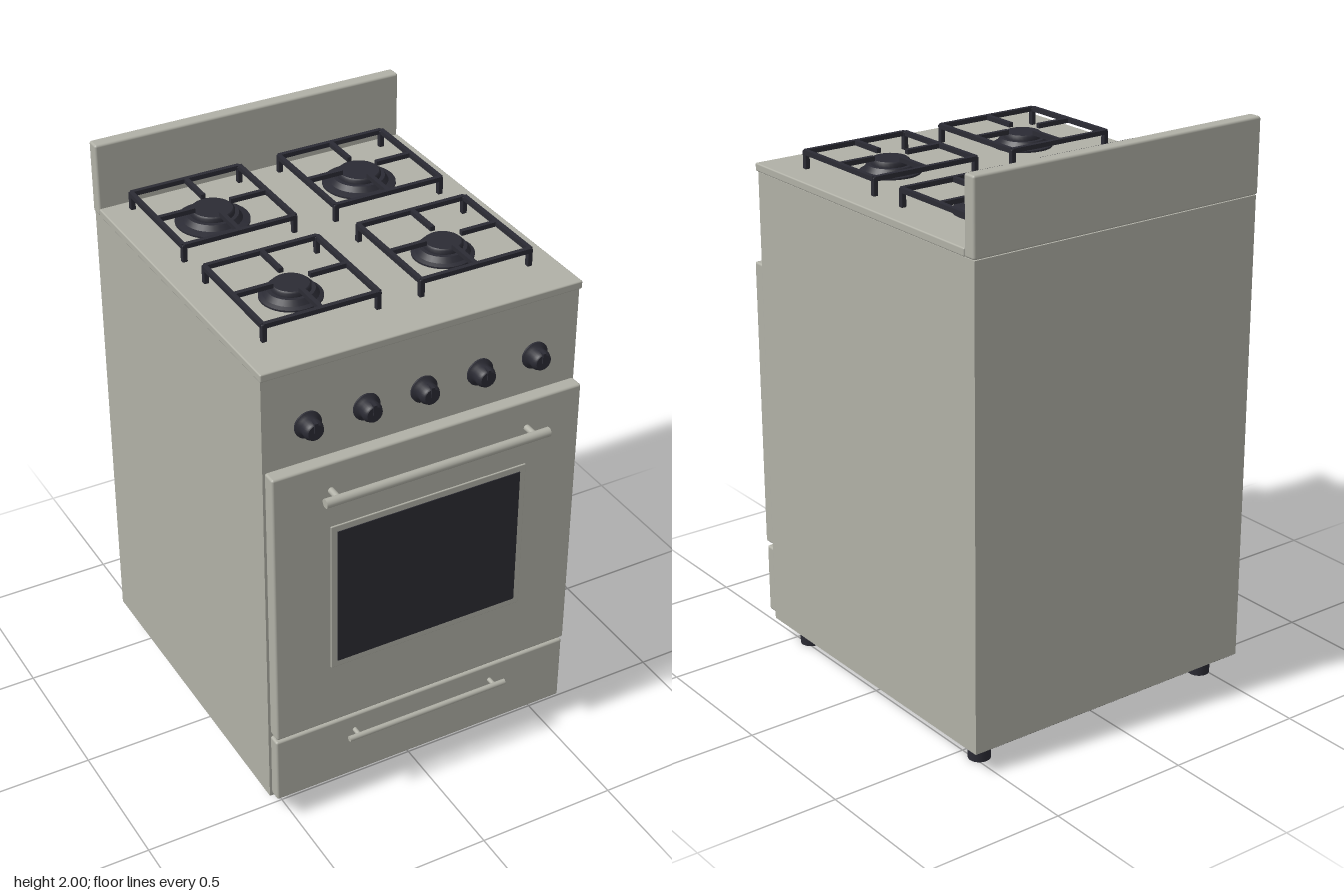
import * as THREE from 'three';
import { RoundedBoxGeometry } from 'three/addons/geometries/RoundedBoxGeometry.js';

const material = (name, color) => {
  const m = new THREE.MeshStandardMaterial({ color });
  m.name = name;
  return m;
};

export function createModel() {
  const steel = material('warm grey steel', 0xb0b0a6);
  const iron = material('dark cast iron', 0x2b2b34);
  const glass = material('dark oven glass', 0x2c2c33);

  const model = new THREE.Group();
  model.name = 'cooker';

  const add = (parent, name, geometry, mat, x = 0, y = 0, z = 0) => {
    const mesh = new THREE.Mesh(geometry, mat);
    mesh.name = name;
    mesh.position.set(x, y, z);
    parent.add(mesh);
    return mesh;
  };
  // Box given by its limits on each axis, with optional rounded edges
  const box = (parent, name, mat, [x0, x1], [y0, y1], [z0, z1], r = 0) => {
    const s = [x1 - x0, y1 - y0, z1 - z0];
    const geometry = r ? new RoundedBoxGeometry(...s, 2, r) : new THREE.BoxGeometry(...s);
    return add(parent, name, geometry, mat, (x0 + x1) / 2, (y0 + y1) / 2, (z0 + z1) / 2);
  };
  const group = (name, x = 0, y = 0, z = 0) => {
    const g = new THREE.Group();
    g.name = name;
    g.position.set(x, y, z);
    model.add(g);
    return g;
  };

  // Cabinet
  box(model, 'body', steel, [-0.565, 0.565], [0.08, 1.74], [-0.66, 0.54]);
  box(model, 'basePlate', iron, [-0.56, 0.56], [0.076, 0.082], [-0.655, 0.535]);
  box(model, 'cooktop', steel, [-0.57, 0.57], [1.742, 1.77], [-0.615, 0.55], 0.005);
  box(model, 'backsplash', steel, [-0.57, 0.57], [1.742, 2], [-0.664, -0.615], 0.008);

  // Feet
  for (const x of [-0.48, 0.48]) for (const z of [0.44, -0.565]) {
    add(model, 'foot', new THREE.CylinderGeometry(0.04, 0.038, 0.08, 24), iron, x, 0.04, z);
  }

  // Oven door with window, and drawer below
  box(model, 'ovenDoor', steel, [-0.56, 0.56], [0.365, 1.412], [0.542, 0.594], 0.008);
  box(model, 'windowFrame', steel, [-0.36, 0.36], [0.6, 1.17], [0.59, 0.599], 0.003);
  box(model, 'ovenWindow', glass, [-0.337, 0.337], [0.625, 1.147], [0.597, 0.602]);
  box(model, 'drawer', steel, [-0.56, 0.56], [0.097, 0.35], [0.542, 0.587], 0.008);

  // Bar handles on two posts
  const handle = (name, y, z, half, r, postX, postR, zBack) => {
    const g = group(name, 0, y, 0);
    const bar = add(g, 'bar', new THREE.CylinderGeometry(r, r, half * 2, 20), steel, 0, 0, z);
    bar.rotation.z = Math.PI / 2;
    for (const x of [-postX, postX]) {
      const post = add(g, 'post', new THREE.CylinderGeometry(postR, postR, z - zBack, 16), steel,
        x, 0, (z + zBack) / 2);
      post.rotation.x = Math.PI / 2;
    }
  };
  handle('doorHandle', 1.31, 0.648, 0.407, 0.016, 0.357, 0.011, 0.59);
  handle('drawerHandle', 0.287, 0.622, 0.305, 0.01, 0.265, 0.008, 0.58);

  // Surface of revolution from [radius, height] pairs
  const lathe = (points) =>
    new THREE.LatheGeometry(points.map(([r, h]) => new THREE.Vector2(r, h)), 32);

  // Control knobs: skirt, waisted barrel, pointer
  const knobGeometry = lathe([
    [0.047, 0], [0.047, 0.006], [0.047, 0.006], [0.036, 0.012], [0.033, 0.02],
    [0.035, 0.038], [0.03, 0.05], [0.026, 0.054], [0.026, 0.054], [0, 0.054],
  ]);
  for (let i = -2; i <= 2; i++) {
    const g = group('knob', i * 0.204, 1.54, 0.54);
    add(g, 'knobBody', knobGeometry, iron).rotation.x = Math.PI / 2;
    box(g, 'pointer', iron, [-0.006, 0.006], [0, 0.035], [0.03, 0.059]);
  }

  // Burners: low plate, raised ring, domed cap
  const burner = (x, z, rBase, rRing, rCap) => {
    const g = group('burner', x, 1.77, z);
    add(g, 'burnerBase', lathe([
      [rBase, 0], [rBase, 0.006], [rBase, 0.006], [rRing + 0.012, 0.012], [rRing + 0.012, 0.012],
      [rRing, 0.03], [rRing, 0.03], [0, 0.03],
    ]), iron);
    add(g, 'burnerCap', lathe([
      [rCap, 0.03], [rCap, 0.043], [rCap - 0.006, 0.048], [rCap - 0.006, 0.048], [0, 0.048],
    ]), iron);
  };

  // Pan support: square frame, four corner legs, four fingers towards the burner
  const grate = (x, z, inner) => {
    const g = group('panSupport', x, 1.77, z);
    const h = 0.2, t = 0.008, y = [0.049, 0.065];
    for (let i = 0; i < 4; i++) {
      const side = new THREE.Group();
      side.name = 'supportSide';
      side.rotation.y = i * Math.PI / 2;
      g.add(side);
      box(side, 'rail', iron, [-h, h], y, [h - t, h + t]);
      box(side, 'finger', iron, [-t, t], y, [inner, h]);
      box(side, 'leg', iron, [h - 0.011, h + 0.007], [0, 0.062], [h - 0.011, h + 0.007], 0.003);
    }
  };

  for (const x of [-0.275, 0.275]) {
    burner(x, -0.363, 0.125, 0.088, 0.074);
    grate(x, -0.363, 0.065);
    burner(x, 0.187, 0.103, 0.078, 0.065);
    grate(x, 0.187, 0.065);
  }

  return model;
}
